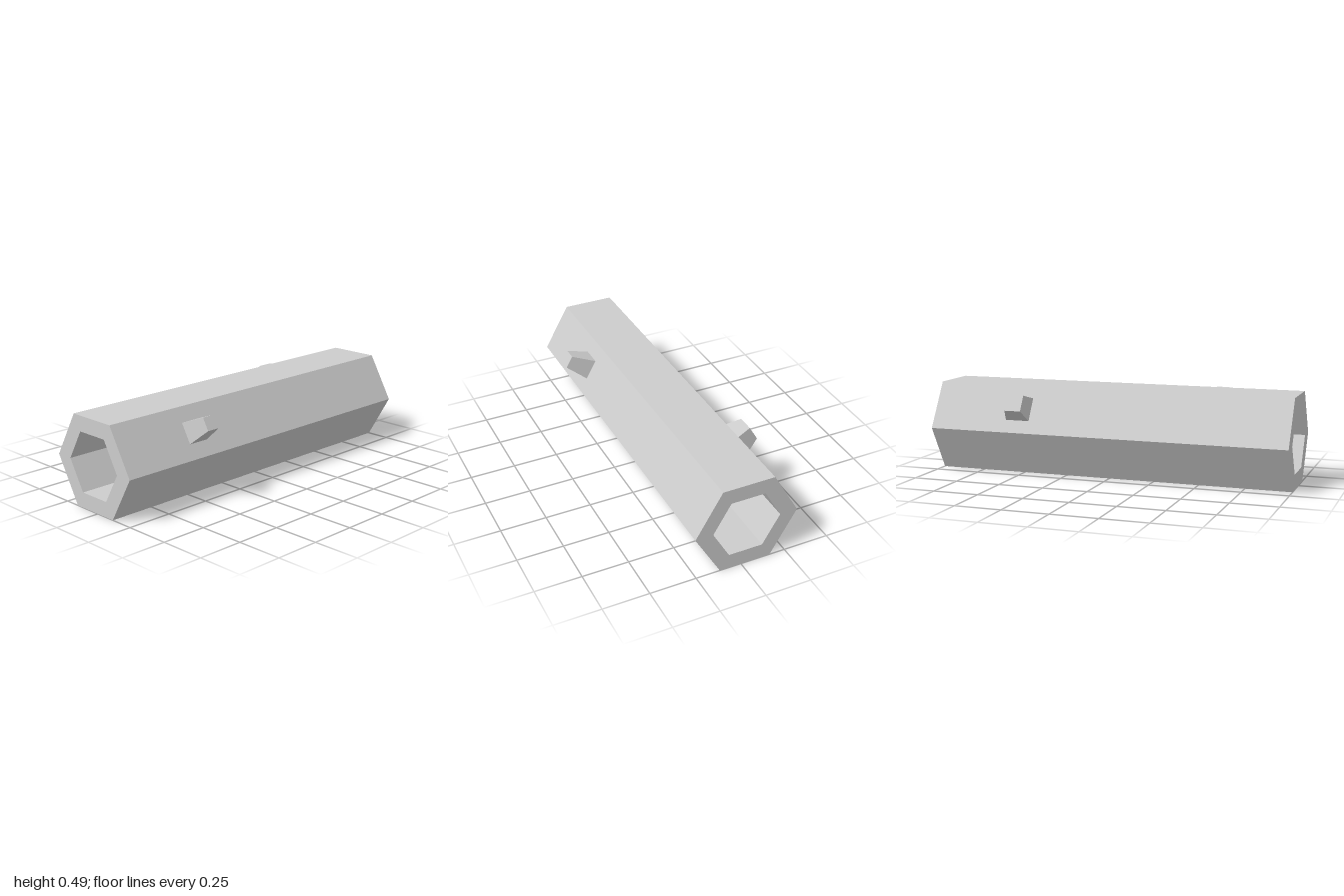
import * as THREE from 'three';

const AXIS_X = -0.0225, AXIS_Y = 0.244;   // tube axis
const APOTHEM = 0.244;                    // axis to outer flat side

function hexagon(radius, PathType) {
  const path = new PathType();
  for (let i = 0; i < 6; i++) {
    const a = i * Math.PI / 3;
    const x = radius * Math.cos(a), y = radius * Math.sin(a);
    if (i === 0) path.moveTo(x, y); else path.lineTo(x, y);
  }
  path.closePath();
  return path;
}

// Square tapered peg standing on a flat side of the tube
function makePeg(name, degrees, z, baseHalf, tipHalf, length, material) {
  const geometry = new THREE.CylinderGeometry(
    tipHalf * Math.SQRT2, baseHalf * Math.SQRT2, length, 4).toNonIndexed();
  geometry.rotateY(Math.PI / 4);
  geometry.computeVertexNormals();
  const a = THREE.MathUtils.degToRad(degrees);
  const reach = APOTHEM + length / 2;
  const peg = new THREE.Mesh(geometry, material);
  peg.name = name;
  peg.rotation.z = a - Math.PI / 2;
  peg.position.set(AXIS_X + reach * Math.cos(a), AXIS_Y + reach * Math.sin(a), z);
  return peg;
}

export function createModel() {
  const group = new THREE.Group();
  group.name = 'hexagonalTube';
  const grey = new THREE.MeshStandardMaterial({ color: 0xcccccc });
  grey.name = 'light grey';

  // Hollow six-sided tube, open at both ends
  const outline = hexagon(APOTHEM / Math.cos(Math.PI / 6), THREE.Shape);
  outline.holes.push(hexagon(0.186, THREE.Path));
  const geometry = new THREE.ExtrudeGeometry(outline, { depth: 2, bevelEnabled: false });
  geometry.translate(AXIS_X, AXIS_Y, -1);
  const tube = new THREE.Mesh(geometry, grey);
  tube.name = 'tube';
  group.add(tube);

  // Pegs on the two upper sloping sides
  group.add(makePeg('leftPeg', 30, 0.514, 0.058, 0.036, 0.14, grey));
  group.add(makePeg('rightPeg', 150, -0.495, 0.067, 0.046, 0.085, grey));
  return group;
}
